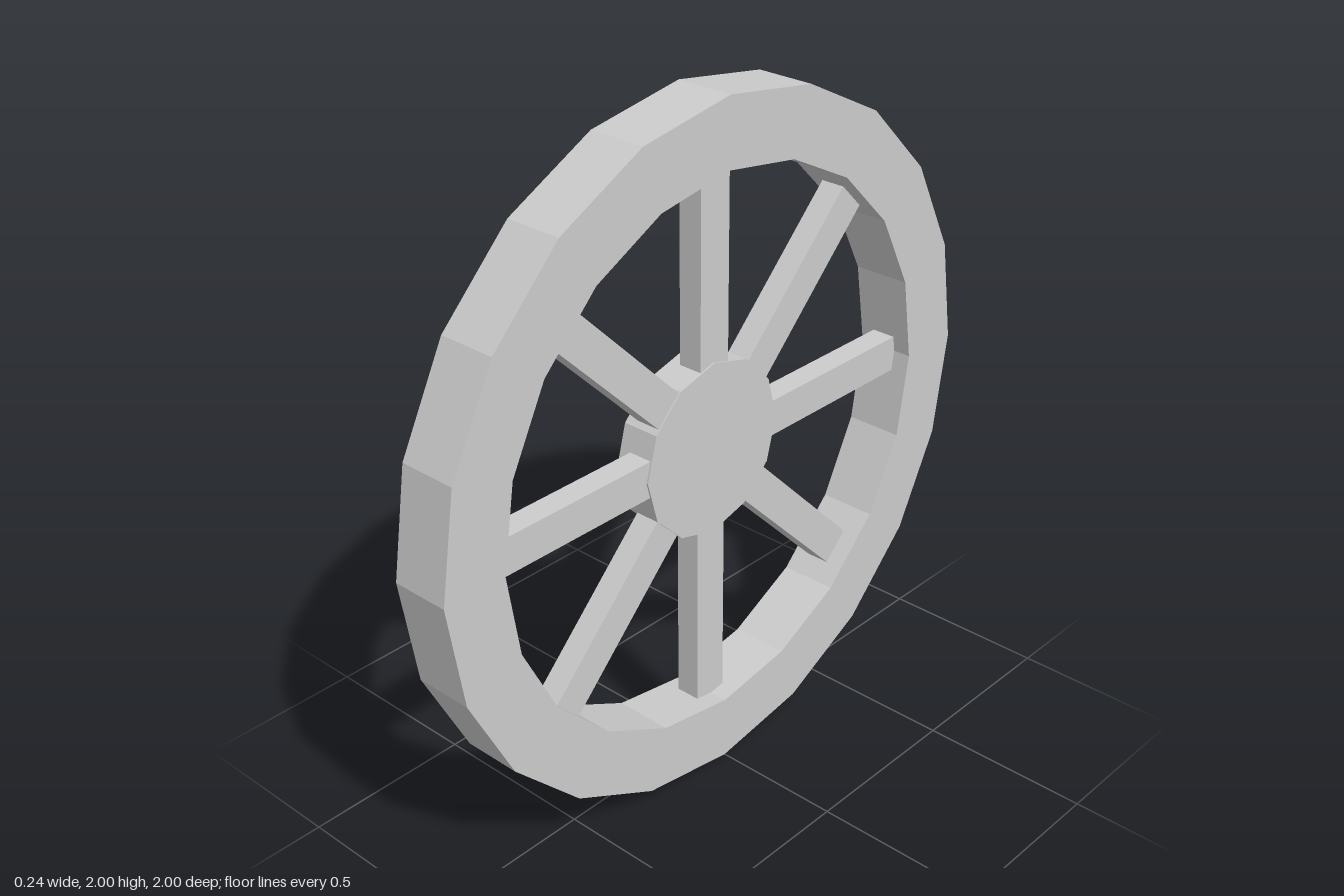
import * as THREE from 'three';

const material = new THREE.MeshStandardMaterial({ color: 0xcccccc, flatShading: true });

function addPart(parent, name, geometry) {
  const mesh = new THREE.Mesh(geometry, material);
  mesh.name = name;
  parent.add(mesh);
  return mesh;
}

// Regular polygon with a corner on each axis
function polygon(radius, sides) {
  return Array.from({ length: sides }, (_, i) => {
    const a = (i / sides) * Math.PI * 2;
    return new THREE.Vector2(radius * Math.cos(a), radius * Math.sin(a));
  });
}

// Faceted cylinder lying along x between x0 and x1
function axialCylinder(x0, x1, r0, r1, sides) {
  return new THREE.CylinderGeometry(r0, r1, x1 - x0, sides)
    .rotateZ(Math.PI / 2)
    .translate((x0 + x1) / 2, 0, 0);
}

export function createModel() {
  const model = new THREE.Group();
  model.name = 'wheel';

  // Everything is built around the axle line, one radius above the ground
  const wheel = new THREE.Group();
  wheel.name = 'wheelAssembly';
  wheel.position.y = 1;
  model.add(wheel);

  // Rim: 20-sided ring
  const rimX0 = -0.055, rimWidth = 0.172;
  const ring = new THREE.Shape(polygon(1, 20));
  ring.holes.push(new THREE.Path(polygon(0.805, 20).reverse()));
  addPart(wheel, 'rim', new THREE.ExtrudeGeometry(ring, { depth: rimWidth, bevelEnabled: false })
    .rotateY(Math.PI / 2)
    .translate(rimX0, 0, 0));

  // Hub: 12-sided disc
  addPart(wheel, 'hub', axialCylinder(-0.045, 0.068, 0.257, 0.257, 12));

  // Eight square spokes, set very slightly off the radial line
  const spokes = new THREE.Group();
  spokes.name = 'spokes';
  wheel.add(spokes);
  const spokeGeometry = new THREE.BoxGeometry(0.073, 0.61, 0.108).translate(0.0265, 0.505, -0.006);
  for (let i = 0; i < 8; i++) {
    addPart(spokes, 'spoke', spokeGeometry).rotation.x = (i * Math.PI) / 4;
  }

  // Tapered axle end, with the linch pin through it
  addPart(wheel, 'axleEnd', axialCylinder(-0.12, -0.04, 0.088, 0.112, 8));
  addPart(wheel, 'linchPin', new THREE.BoxGeometry(0.048, 0.315, 0.07).translate(-0.088, 0.012, 0));

  return model;
}
